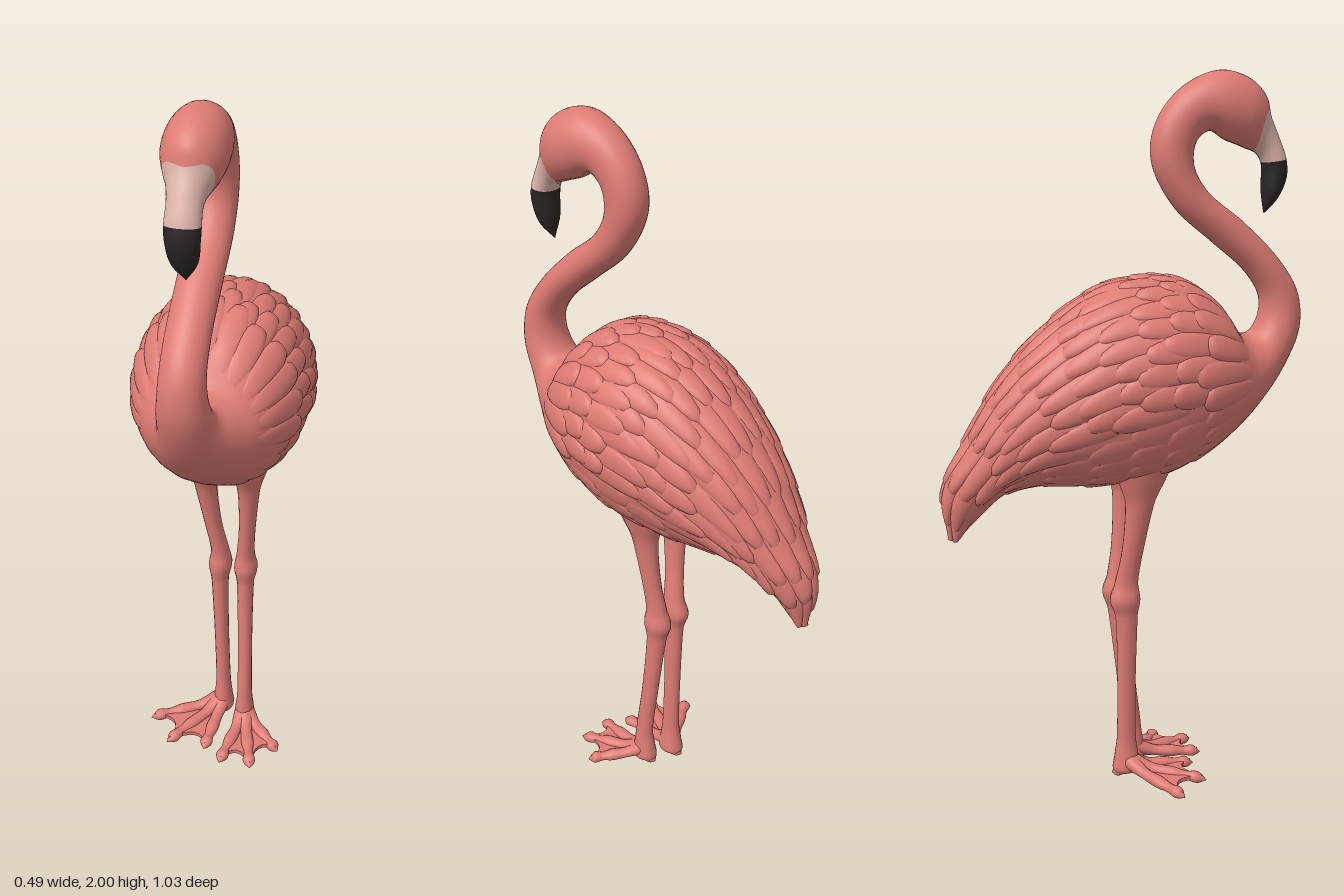
import * as THREE from 'three';
import { mergeVertices, mergeGeometries } from 'three/addons/utils/BufferGeometryUtils.js';

const mat = (name, color) => Object.assign(new THREE.MeshStandardMaterial({ color }), { name });
const V = (x, y, z) => new THREE.Vector3(x, y, z);

// Cross-sections from tail tip to bill tip: [back z, back y, belly z, belly y, half width]
const SECTIONS = [
  [-.49, .755, -.485, .755, 0], [-.51, .89, -.41, .83, .05], [-.445, 1.03, -.345, .885, .095],
  [-.34, 1.2, -.25, .9, .145], [-.21, 1.335, -.13, .89, .19], [-.07, 1.425, -.03, .89, .217],
  [.06, 1.45, .06, .9, .228], [.165, 1.435, .17, .935, .215], [.255, 1.38, .28, 1, .18],
  [.315, 1.3, .38, 1.09, .125], [.36, 1.29, .46, 1.19, .08], [.388, 1.33, .508, 1.3, .065],
  [.39, 1.39, .5, 1.4, .058], [.345, 1.46, .44, 1.495, .056], [.245, 1.545, .335, 1.597, .056],
  [.14, 1.635, .23, 1.68, .056], [.078, 1.74, .19, 1.745, .056], [.07, 1.81, .19, 1.8, .056],
  [.098, 1.89, .205, 1.825, .057], [.165, 1.96, .235, 1.84, .064], [.26, 1.998, .28, 1.815, .079],
  [.34, 1.98, .32, 1.8, .078], [.39, 1.935, .345, 1.79, .062], [.405, 1.885, .36, 1.785, .05],
  [.43, 1.83, .375, 1.775, .043], [.455, 1.765, .388, 1.755, .044], [.458, 1.715, .39, 1.735, .042],
  [.435, 1.66, .39, 1.68, .033], [.4, 1.62, .395, 1.62, 0],
];
const LAST = SECTIONS.length - 1;
const backLine = new THREE.CatmullRomCurve3(SECTIONS.map(s => V(s[4], s[1], s[0])));
const bellyLine = new THREE.CatmullRomCurve3(SECTIONS.map(s => V(s[4], s[3], s[2])));

function section(u) {
  const t = THREE.MathUtils.clamp(u / LAST, 0, 1);
  const top = backLine.getPoint(t), low = bellyLine.getPoint(t);
  const w = Math.max(0, top.x);
  top.x = low.x = 0;
  const half = top.clone().sub(low).multiplyScalar(.5);
  return { mid: top.add(low).multiplyScalar(.5), half, w };
}

// Point on the skin at section u and angle a from the back, raised by lift
function skin(u, a, lift = 0) {
  const { mid, half, w } = section(u);
  const p = mid.addScaledVector(half, Math.cos(a));
  p.x += Math.sin(a) * w;
  if (lift) {
    const h = half.length() || .001;
    const n = half.clone().multiplyScalar(Math.cos(a) / (h * h));
    n.x = Math.sin(a) / Math.max(w, .001);
    p.addScaledVector(n.normalize(), lift);
  }
  return p;
}

// Smooth welded grid; du x dv points outward
function grid(nu, nv, f) {
  const pos = [], idx = [];
  for (let i = 0; i <= nu; i++)
    for (let j = 0; j <= nv; j++) pos.push(...f(i / nu, j / nv).toArray());
  for (let i = 0; i < nu; i++)
    for (let j = 0; j < nv; j++) {
      const a = i * (nv + 1) + j, b = a + nv + 1;
      idx.push(a, b, b + 1, a, b + 1, a + 1);
    }
  let g = new THREE.BufferGeometry();
  g.setAttribute('position', new THREE.Float32BufferAttribute(pos, 3));
  g.setIndex(idx);
  g = mergeVertices(g, 1e-5);
  g.computeVertexNormals();
  return g;
}

// Stretch of the skin; bends curve the seam around the sides
const stretch = (u0, u1, rings, bend0 = 0, bend1 = 0) => grid(rings, 36, (s, v) => {
  const a = -Math.PI + v * 2 * Math.PI, k = Math.sin(a) ** 2;
  return skin(THREE.MathUtils.lerp(u0 - bend0 * k, u1 - bend1 * k, s), a);
});

// Pillow-shaped feather hugging the skin, pointing to the tail
function feather(u0, du, a0, da, lift) {
  return grid(8, 10, (r, s) => {
    const x = r * 2 - 1;
    const width = s < .6 ? .55 + .45 * Math.sin(s / .6 * Math.PI / 2) : Math.sqrt(Math.max(0, 1 - ((s - .6) / .4) ** 2));
    const end = s > .85 ? Math.sqrt(Math.max(0, 1 - ((s - .85) / .15) ** 2)) : 1;
    const up = lift * (.15 + .85 * s) * Math.sqrt(1 - x * x * .98) * end - .002;
    return skin(Math.max(.05, u0 - du * s), a0 + x * width * da, up);
  });
}

// Round limb through [x, y, z, radius]; upright limbs use level rings, toes use standing rings
function limb(points, upright, steps, depth = 1) {
  const path = new THREE.CatmullRomCurve3(points.map(p => V(p[0], p[1], p[2])));
  const radii = new THREE.CatmullRomCurve3(points.map((p, i) => V(p[3], i * .1, 0)));
  const d = path.getPoint(1).sub(path.getPoint(0)).setY(0).normalize();
  const side = upright ? V(1, 0, 0) : V(0, 1, 0).cross(d);
  const other = upright ? V(0, 0, depth) : V(0, depth, 0);
  return grid(16, steps, (u, v) => {
    const a = u * 2 * Math.PI, r = Math.max(0, radii.getPoint(v).x);
    return path.getPoint(v).addScaledVector(side, r * Math.cos(a)).addScaledVector(other, r * Math.sin(a));
  });
}

export function createModel() {
  const model = new THREE.Group();
  model.name = 'wadingBird';
  const pink = mat('coral pink', 0xdd7b73);
  const pale = mat('pale bill', 0xdfb5ab);
  const black = mat('bill black', 0x2b2525);
  const add = (name, geo, material, parent = model) => {
    const m = new THREE.Mesh(geo, material);
    m.name = name;
    parent.add(m);
    return m;
  };

  // Body, neck and head in one flowing skin, then the two-tone bill
  add('bodyNeckAndHead', stretch(0, 22.9, 130, 0, .9), pink);
  add('billBase', stretch(22.9, 25, 14, .9, 0), pale);
  add('billTip', stretch(25, LAST, 18), black);

  // Overlapping plumage rows from shoulders to tail
  let seed = 7;
  const rand = () => (seed = (seed * 16807) % 2147483647) / 2147483647;
  const plumage = new THREE.Group();
  plumage.name = 'plumage';
  model.add(plumage);
  for (let row = 0; row < 11; row++) {
    const u0 = 8.5 - row * .7;
    const { half, w } = section(u0 - .8);
    const da = .037 / ((half.length() + w) / 2);
    const step = da * 1.55, reach = 1.75 + row * .03;
    const parts = [];
    for (let a = row % 2 ? step / 2 : 0; a < reach; a += step)
      for (const s of a ? [-1, 1] : [1])
        parts.push(feather(u0 + (rand() - .5) * .25, 1.65 + rand() * .45, s * (a + (rand() - .5) * .2 * step), da, .021));
    add('featherRow' + (row + 1), mergeGeometries(parts), pink, plumage);
  }
  // Soft flank and belly feathers
  const flank = [];
  for (let row = 0; row < 6; row++)
    for (let k = 0; k < 4; k++)
      for (const s of [-1, 1])
        flank.push(feather(8.4 - row, 1.5, s * (1.95 + k * .27 + (row % 2) * .13), .17, .008));
  add('flankFeathers', mergeGeometries(flank), pink, plumage);

  // Legs and webbed feet: [hip x, knee x, ankle x, ankle z, toe tips [x, z]]
  const LEGS = [
    ['left', .06, .045, .055, .035, [[.18, .15], [.12, .235], [.03, .235]]],
    ['right', -.065, -.032, -.022, -.005, [[-.215, .1], [-.14, .19], [-.03, .19]]],
  ];
  for (const [label, hx, kx, ax, az, tips] of LEGS) {
    const leg = new THREE.Group();
    leg.name = label + 'Leg';
    model.add(leg);
    add('shank', limb([
      [hx, .98, .03, .075], [hx, .9, .025, .05], [hx, .84, .02, .032], [(hx + kx) / 2, .7, .005, .024],
      [kx, .6, -.008, .026], [kx, .55, -.012, .034], [kx, .5, -.008, .025],
      [(kx + ax) / 2, .3, (az - .008) / 2, .021], [ax, .12, az, .022], [ax, .06, az, .028],
      [ax, .02, az, .03], [ax, .003, az, 0],
    ], true, 70, 1.3), pink, leg);
    for (const [tx, tz] of tips) {
      const at = (k, y, r) => [ax + (tx - ax) * k, y, az + (tz - az) * k, r];
      add('toe', limb([at(-.05, .06, 0), at(.08, .05, .024), at(.35, .03, .017), at(.6, .024, .019),
        at(.78, .02, .014), at(.93, .018, .018), at(1.05, .012, 0)], false, 28, .9), pink, leg);
    }
    add('hindToe', limb([[ax, .05, az, 0], [ax, .035, az - .01, .024], [ax, .02, az - .03, .017],
      [ax, .015, az - .045, 0]], false, 10), pink, leg);

    // Web stretched between the toes with scooped edges
    const web = new THREE.Shape();
    web.moveTo(ax, az);
    web.lineTo(...tips[0]);
    for (let i = 1; i < 3; i++) {
      const [px, pz] = tips[i - 1], [qx, qz] = tips[i];
      web.quadraticCurveTo(((px + qx) / 2) * .6 + ax * .4, ((pz + qz) / 2) * .6 + az * .4, qx, qz);
    }
    web.closePath();
    const webGeo = new THREE.ExtrudeGeometry(web, { depth: .012, bevelEnabled: false, curveSegments: 8 });
    webGeo.rotateX(Math.PI / 2).translate(0, .026, 0);
    add('web', webGeo, pink, leg);
  }
  return model;
}
